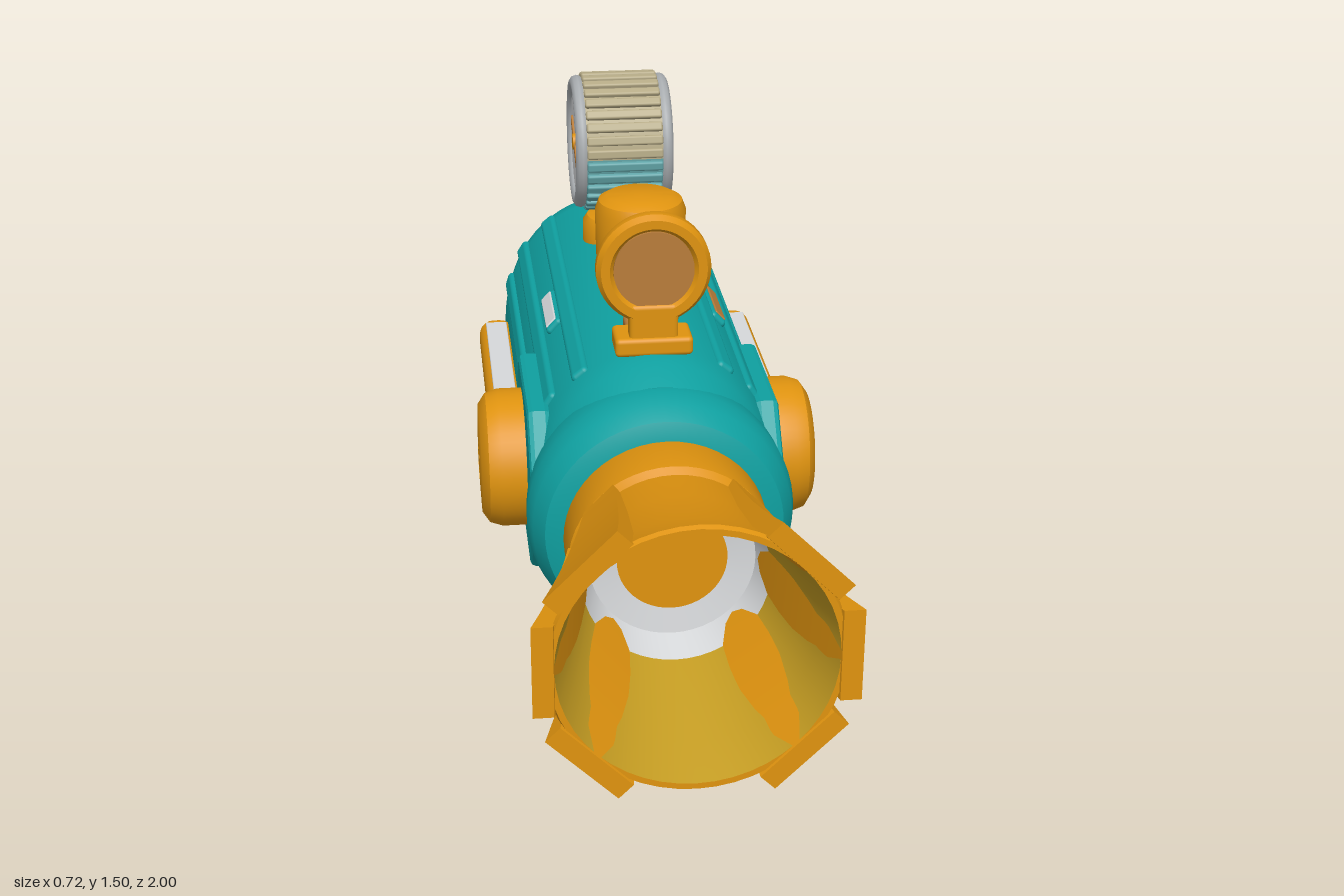
import * as THREE from 'three';
import { toCreasedNormals } from 'three/addons/utils/BufferGeometryUtils.js';
import { RoundedBoxGeometry } from 'three/addons/geometries/RoundedBoxGeometry.js';

const mat = (name, color) => Object.assign(new THREE.MeshStandardMaterial({ color }), { name });
const teal = mat('teal', 0x0fa0a0), orange = mat('orange', 0xdf930f), gold = mat('gold', 0xc49c22),
  copper = mat('copper', 0xb87c3a), white = mat('white', 0xd6d8da), beige = mat('beige', 0xb5aa86),
  paleTeal = mat('pale teal', 0x62a5a8), grey = mat('grey', 0xa9adb0);
const AY = 0.82; // height of the barrel axis

// profile: [radius, position along axis], spun about y
const spin = (pts, seg = 48) => toCreasedNormals(
  new THREE.LatheGeometry(pts.map(([r, y]) => new THREE.Vector2(r, y)), seg), 0.6);
const spinZ = (pts, seg) => spin(pts, seg).rotateX(Math.PI / 2).translate(0, AY, 0);
const spinX = (pts, side) => spin(pts).rotateZ(-side * Math.PI / 2);
const box = (w, h, d, r = 0.01) => new RoundedBoxGeometry(w, h, d, 3, r);
const cyl = (r0, r1, h, seg = 40) => new THREE.CylinderGeometry(r0, r1, h, seg);

// outline in (z, y), given a width along x
function sideExtrude(shape, width, bevel = 0) {
  const g = new THREE.ExtrudeGeometry(shape, {
    depth: width - 2 * bevel, bevelEnabled: bevel > 0, bevelSize: bevel, bevelThickness: bevel, bevelSegments: 2, curveSegments: 10 });
  return g.translate(0, 0, -width / 2 + bevel).rotateY(-Math.PI / 2);
}
const outline = pts => new THREE.Shape(pts.map(([z, y]) => new THREE.Vector2(z, y)));

// skin over rounded sections [frontZ, frontY, backZ, backY, halfWidth]; "arc" limits it to a strip on the front
function loft(sections, arc = Math.PI, grow = 0) {
  const n = 32, pos = [], idx = [], closed = arc === Math.PI;
  const pw = v => Math.sign(v) * Math.abs(v) ** (2 / 3);
  for (const [fz, fy, bz, by, w] of sections) {
    const len = Math.hypot(fz - bz, fy - by) || 1, k = 0.5 + grow / len;
    for (let i = 0; i <= n; i++) {
      const a = -arc + (2 * arc * i) / n, c = pw(Math.cos(a)) * k;
      pos.push(pw(Math.sin(a)) * (w + (w ? grow : 0)), (fy + by) / 2 + c * (fy - by), (fz + bz) / 2 + c * (fz - bz));
    }
  }
  for (let s = 0; s < sections.length - 1; s++) for (let i = 0; i < n; i++) {
    const a = s * (n + 1) + i, b = closed && i === n - 1 ? s * (n + 1) : a + 1;
    idx.push(a, a + n + 1, b, b, a + n + 1, b + n + 1);
  }
  const g = new THREE.BufferGeometry();
  g.setAttribute('position', new THREE.Float32BufferAttribute(pos, 3));
  g.setIndex(idx);
  g.computeVertexNormals();
  return g;
}

export function createModel() {
  const model = new THREE.Group();
  model.name = 'toyBlaster';
  const add = (name, geo, material, x = 0, y = 0, z = 0) => {
    const m = new THREE.Mesh(geo, material);
    m.name = name;
    m.position.set(x, y, z);
    model.add(m);
    return m;
  };

  // Main housing: oval shell with a rounder front bulb
  const shell = spin([[0, -0.79], [0.2, -0.79], [0.235, -0.78], [0.27, -0.755], [0.295, -0.71], [0.305, -0.65],
    [0.305, 0.27], [0.295, 0.33], [0.27, 0.39], [0, 0.4]], 64);
  add('housing', shell.rotateX(Math.PI / 2).scale(0.86, 1, 1), teal, 0, 0.825, 0);
  add('frontBulb', spinZ([[0.255, 0.3], [0.272, 0.35], [0.275, 0.41], [0.265, 0.45], [0.243, 0.485], [0.21, 0.498], [0, 0.498]], 64), teal);

  // Raised ridges running along the housing
  for (const s of [-1, 1]) {
    for (const [deg, z, len] of [[55, -0.2, 0.94], [36, -0.22, 0.92], [20, -0.35, 0.62], [-20, -0.35, 0.62], [-36, -0.22, 0.86]]) {
      const t = THREE.MathUtils.degToRad(deg);
      const ridge = add('housingRidge', box(0.024, 0.042, len, 0.011), teal,
        s * 0.26 * Math.cos(t), 0.825 + 0.302 * Math.sin(t), z);
      ridge.rotation.z = s * Math.atan2(Math.sin(t) / 0.302, Math.cos(t) / 0.26);
    }
    // Eight-sided saddle behind each side knob
    const saddle = outline([[0.35, 0.9], [0.27, 0.99], [-0.02, 0.99], [-0.09, 0.92], [-0.09, 0.72], [-0.02, 0.65], [0.27, 0.65], [0.35, 0.74]]);
    add('knobSaddle', sideExtrude(saddle, 0.05, 0.012), teal, s * 0.238);
    // Vent slots
    const vent = new THREE.Group();
    vent.name = 'ventSlot';
    const frame = new THREE.Mesh(box(0.02, 0.044, 0.18), teal);
    const inset = new THREE.Mesh(box(0.008, 0.03, 0.16, 0.003), s > 0 ? copper : white);
    frame.name = 'ventFrame'; inset.name = 'ventInset';
    inset.position.x = s * 0.009;
    vent.add(frame, inset);
    vent.position.set(s * 0.18, 1.05, -0.14);
    vent.rotation.z = s * 0.75;
    model.add(vent);
    // Screw heads
    add('screwHead', spinX([[0.042, -0.03], [0.042, 0.016], [0.034, 0.024], [0, 0.024]], s), copper, s * 0.168, 0.59, -0.265);
  }

  // Nozzle: collar, flared cone, raised petals and lined throat
  add('nozzleCollar', spinZ([[0.2, 0.48], [0.207, 0.5], [0.207, 0.61], [0.195, 0.625]]), orange);
  add('nozzleCone', spinZ([[0.195, 0.62], [0.215, 0.75], [0.248, 0.9], [0.278, 0.985], [0.274, 0.995], [0.262, 0.995]]), orange);
  add('nozzleLining', spinZ([[0.262, 0.995], [0.235, 0.9], [0.185, 0.68]]), gold);
  add('throatRing', spinZ([[0.185, 0.68], [0.165, 0.61], [0.1, 0.6]]), white);
  add('throatDisc', spinZ([[0.11, 0.605], [0, 0.605]]), orange);
  for (const deg of [0, 45, 135, 180, 225, 315]) {
    const g = new THREE.BoxGeometry(1, 1, 1, 1, 1, 6), p = g.attributes.position;
    for (let i = 0; i < p.count; i++) {
      const t = p.getZ(i) + 0.5;
      const outer = 0.206 + 0.065 * t + 0.032 * t * t;
      p.setXYZ(i, p.getX(i) > 0 ? outer : outer - 0.04, p.getY(i) * (0.08 + 0.11 * t), 0.61 + 0.39 * t);
    }
    add('nozzlePetal', toCreasedNormals(g, 0.5), orange, 0, AY, 0).rotation.z = THREE.MathUtils.degToRad(deg);
  }

  // Rear cap and end window
  add('rearCap', spinZ([[0, -0.998], [0.105, -0.998], [0.115, -1], [0.145, -1], [0.15, -0.99], [0.15, -0.975], [0.13, -0.96],
    [0.137, -0.9], [0.152, -0.835], [0.195, -0.83], [0.207, -0.82], [0.207, -0.785], [0.19, -0.77]]), orange);
  add('rearWindow', spinZ([[0, -1], [0.106, -1], [0.106, -0.995]]), beige);

  // Side knobs with lever bars
  for (const s of [-1, 1]) {
    add('sideKnob', spinX([[0.145, 0.235], [0.149, 0.26], [0.149, 0.315], [0.14, 0.342], [0.118, 0.357],
      [0.046, 0.36], [0.042, 0.352], [0.036, 0.352], [0.032, 0.36], [0, 0.36]], s), orange, 0, 0.815, 0.1);
    add('leverBar', box(0.085, 0.088, 0.62, 0.035), orange, s * 0.288, 0.82, -0.275);
    add('leverTop', box(0.05, 0.008, 0.5, 0.003), white, s * 0.29, 0.863, -0.29);
  }

  // Round sight on a foot
  add('sightFoot', box(0.16, 0.04, 0.09), orange, 0, 1.14, 0.25);
  add('sightHinge', box(0.1, 0.035, 0.08), copper, 0, 1.14, 0.18);
  add('sightStem', box(0.1, 0.09, 0.05), orange, 0, 1.185, 0.262);
  add('sightRing', spin([[0, -0.022], [0.09, -0.022], [0.11, -0.018], [0.117, -0.006], [0.117, 0.014], [0.108, 0.027],
    [0.09, 0.027], [0.082, 0.016], [0, 0.016]]).rotateX(Math.PI / 2), orange, 0, 1.303, 0.26);
  add('sightLens', cyl(0.082, 0.082, 0.006).rotateX(Math.PI / 2), copper, 0, 1.303, 0.279);

  // Plunger valve
  add('valveNut', cyl(0.058, 0.058, 0.05, 6), orange, 0, 1.142, 0.025);
  add('valveStem', cyl(0.034, 0.034, 0.14), orange, 0, 1.19, 0.025);
  add('valveCap', spin([[0, 1.232], [0.08, 1.232], [0.094, 1.245], [0.096, 1.345], [0.088, 1.366], [0.07, 1.376], [0, 1.378]]), orange, 0, 0, 0.025);

  // Pressure gauge with knurled drum
  const GY = 1.352, GZ = -0.425;
  add('gaugeBase', spin([[0.085, 1.1], [0.085, 1.16], [0.075, 1.175], [0.045, 1.18], [0.045, 1.22]]), orange, 0, 0, GZ);
  [[beige, 0], [paleTeal, Math.PI]].forEach(([m, start]) => {
    add('gaugeDrum', new THREE.CylinderGeometry(0.147, 0.147, 0.2, 32, 1, true, start, Math.PI).rotateZ(Math.PI / 2), m, 0, GY, GZ);
    for (let i = 0; i < 16; i++) {
      const a = start + ((i + 0.5) * Math.PI) / 16;
      add('gaugeKnurl', box(0.17, 0.015, 0.021, 0.005), m, 0, GY + 0.149 * Math.sin(a), GZ + 0.149 * Math.cos(a)).rotation.x = Math.PI / 2 - a;
    }
  });
  for (const s of [-1, 1]) {
    add('gaugeRim', new THREE.TorusGeometry(0.134, 0.016, 10, 48).rotateY(Math.PI / 2), grey, s * 0.094, GY, GZ);
    add('gaugeFace', cyl(0.132, 0.132, 0.006).rotateZ(Math.PI / 2), white, s * 0.097, GY, GZ);
    add('gaugeNeedle', box(0.006, 0.018, 0.15, 0.002), copper, s * 0.102, GY, GZ).rotation.x = 0.5;
    add('gaugeHub', cyl(0.018, 0.018, 0.008, 20).rotateZ(Math.PI / 2), orange, s * 0.103, GY, GZ);
  }

  // Small button behind the gauge
  add('rearButton', cyl(0.046, 0.046, 0.08), orange, 0, 1.138, -0.625);
  add('rearButtonTop', cyl(0.042, 0.042, 0.006), teal, 0, 1.179, -0.625);

  // Grip
  const grip = [[-0.34, 0.59, -0.68, 0.62, 0.14], [-0.41, 0.5, -0.65, 0.53, 0.133], [-0.44, 0.4, -0.685, 0.46, 0.113],
    [-0.485, 0.28, -0.745, 0.37, 0.105], [-0.53, 0.13, -0.805, 0.24, 0.105], [-0.51, 0.075, -0.832, 0.185, 0.108], [-0.502, 0.008, -0.825, 0.16, 0.1]];
  add('grip', loft(grip), teal);
  add('gripBase', loft([grip[6], [-0.66, 0.075, -0.66, 0.075, 0]]), orange);
  add('gripStripe', loft(grip.slice(3, 5), 0.33, 0.004), gold);
  add('gripStripeLower', loft(grip.slice(4), 0.33, 0.004), beige);
  const patch = outline([[-0.55, 0.345], [-0.64, 0.365], [-0.71, 0.25], [-0.7, 0.175], [-0.63, 0.15], [-0.6, 0.18]]);
  add('gripPatch', sideExtrude(patch, 0.009), beige, 0.103);
  add('gripPatch', sideExtrude(patch, 0.009), grey, -0.103);

  // Trigger guard and trigger
  const guard = outline([[0.03, 0.56], [0.022, 0.41], [0, 0.365], [-0.05, 0.35], [-0.47, 0.35], [-0.47, 0.378],
    [-0.05, 0.378], [-0.015, 0.39], [-0.005, 0.42], [-0.005, 0.49], [-0.03, 0.515], [-0.03, 0.56]]);
  add('triggerGuard', sideExtrude(guard, 0.09, 0.006), teal);
  const trigger = outline([[-0.31, 0.54], [-0.345, 0.48], [-0.36, 0.43], [-0.335, 0.385], [-0.38, 0.39], [-0.46, 0.43], [-0.46, 0.54]]);
  add('trigger', sideExtrude(trigger, 0.07, 0.008), teal);

  // Short hose with a frayed end
  const hose = new THREE.CatmullRomCurve3([[-0.76, 0.16], [-0.82, 0.12], [-0.86, 0.105], [-0.9, 0.09]].map(([z, y]) => new THREE.Vector3(0, y, z)));
  add('hose', new THREE.TubeGeometry(hose, 12, 0.022, 12), orange);
  for (let i = 0; i < 7; i++) {
    const a = (i / 7) * Math.PI * 2, r = 0.024;
    const tip = add('hoseStrand', new THREE.ConeGeometry(0.016, 0.06, 6).rotateX(-Math.PI / 2), orange,
      r * Math.cos(a), 0.09 + r * Math.sin(a), -0.897);
    tip.rotation.set(-0.3 + 0.35 * Math.sin(a), -0.35 * Math.cos(a), 0);
  }
  return model;
}
